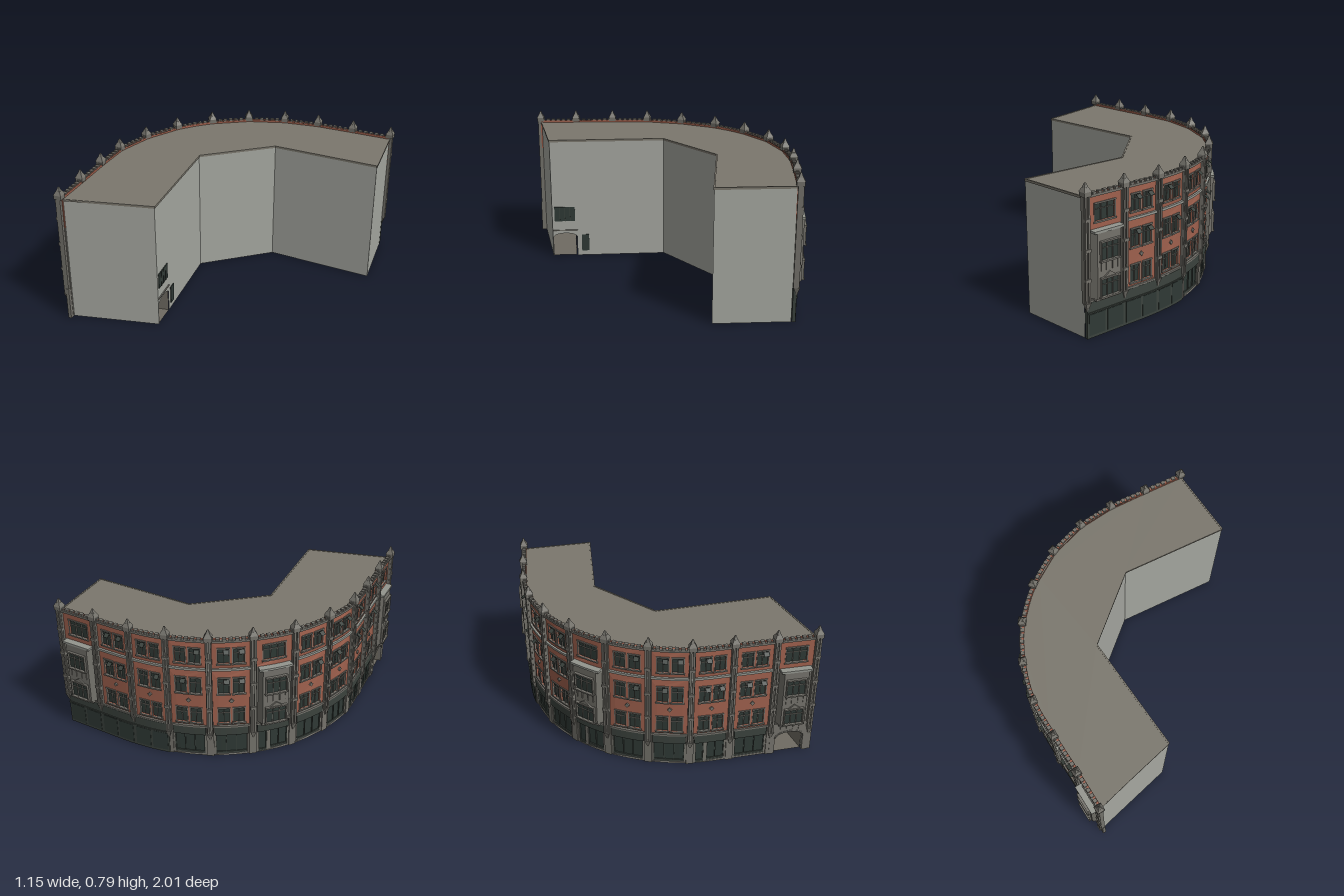
import * as THREE from 'three';
import { mergeGeometries } from 'three/addons/utils/BufferGeometryUtils.js';

const mat = (name, color, side = THREE.FrontSide) => {
  const m = new THREE.MeshStandardMaterial({ color, side });
  m.name = name;
  return m;
};
const BRICK = mat('brick', 0x9e604d);
const STONE = mat('stone', 0x74726b);
const SHOP = mat('shopfront', 0x3b423d);
const GLASS = mat('glass', 0x2f3935);
const ROOF = mat('roofing', 0x7b776d, THREE.DoubleSide);
const PLAIN = mat('plainWall', 0xa5a7a0, THREE.DoubleSide);
const TRIM = mat('paleTrim', 0x93958e);
const PASSAGE = mat('passageLining', 0x6f6b62, THREE.DoubleSide);

// Plan of the street facade: one point per pier, eleven bays
const PIERS = [[0.33, -0.975], [0.125, -0.868], [-0.07, -0.762], [-0.238, -0.638], [-0.385, -0.47], [-0.487, -0.265],
  [-0.535, -0.04], [-0.52, 0.19], [-0.455, 0.405], [-0.34, 0.592], [-0.212, 0.783], [-0.09, 0.968]];
const BAYS = PIERS.length - 1;
const W = 0.226;
const curve = new THREE.CatmullRomCurve3(PIERS.map(([x, z]) => new THREE.Vector3(x, 0, z)), false, 'centripetal');

// Maps (distance along facade, height, distance outward) onto the curved plan
function onFacade(s, y, n) {
  const t = THREE.MathUtils.clamp(s / (W * BAYS), 0, 1);
  const p = curve.getPoint(t), d = curve.getTangent(t), extra = s - t * W * BAYS;
  return new THREE.Vector3(p.x + d.x * extra - d.z * n, y, p.z + d.z * extra + d.x * n);
}

const parts = new Map();
function add(name, material, geo, bay) {
  const g = geo.index ? geo.toNonIndexed() : geo;
  g.deleteAttribute('uv');
  const p = g.attributes.position;
  for (let i = 0; i < p.count; i++) {
    const v = onFacade(bay * W + p.getX(i), p.getY(i), p.getZ(i));
    p.setXYZ(i, v.x, v.y, v.z);
  }
  g.computeVertexNormals();
  if (!parts.has(name)) parts.set(name, { material, list: [] });
  parts.get(name).list.push(g);
}

function box(x0, x1, y0, y1, n0, n1) {
  const g = new THREE.BoxGeometry(x1 - x0, y1 - y0, n1 - n0, x1 - x0 > 0.1 ? 6 : 1, 1, 1);
  return g.translate((x0 + x1) / 2, (y0 + y1) / 2, (n0 + n1) / 2);
}

function rectPath(x0, x1, y0, y1) {
  return new THREE.Path([[x0, y0], [x0, y1], [x1, y1], [x1, y0]].map(p => new THREE.Vector2(...p)));
}

// Full-width bay wall with rectangular openings
function panel(y0, y1, holes) {
  const pts = [];
  for (let i = 0; i <= 6; i++) pts.push(new THREE.Vector2(W * i / 6, y0));
  for (let i = 6; i >= 0; i--) pts.push(new THREE.Vector2(W * i / 6, y1));
  const s = new THREE.Shape(pts);
  s.holes = holes.map(h => rectPath(...h));
  return new THREE.ExtrudeGeometry(s, { depth: 0.014, bevelEnabled: false }).translate(0, 0, -0.014);
}

// Wall outline with an arched opening rising from the ground
function archShape(w, h, a0, a1, spring, crown) {
  const s = new THREE.Shape();
  s.moveTo(0, 0); s.lineTo(a0, 0); s.lineTo(a0, spring);
  s.bezierCurveTo(a0 + 0.01, crown, a1 - 0.01, crown, a1, spring);
  s.lineTo(a1, 0); s.lineTo(w, 0); s.lineTo(w, h); s.lineTo(0, h);
  return s;
}

// Stone-framed window with mullions and a transom
function windowUnit(bay, [x0, x1, y0, y1], n, lights, open) {
  const f = 0.006, out = n + 0.013;
  add('windowGlass', GLASS, box(x0, x1, y0, y1, n, n + 0.002), bay);
  for (const [a, b] of [[x0 - f, x0], [x1, x1 + f]]) add('windowFrames', STONE, box(a, b, y0, y1, n, out), bay);
  add('windowFrames', STONE, box(x0 - f, x1 + f, y1, y1 + 0.008, n, out + 0.002), bay);
  add('windowFrames', STONE, box(x0 - f - 0.003, x1 + f + 0.003, y0 - 0.008, y0, n, out + 0.004), bay);
  for (let i = 1; i < lights; i++) {
    const c = x0 + (x1 - x0) * i / lights;
    add('windowFrames', STONE, box(c - 0.002, c + 0.002, y0, y1, n, n + 0.008), bay);
  }
  const ty = y0 + (y1 - y0) * 0.68;
  add('windowFrames', STONE, box(x0, x1, ty - 0.0015, ty + 0.0015, n, n + 0.007), bay);
  if (open) {
    const w = (x1 - x0) / lights;
    const sash = new THREE.BoxGeometry(w, 0.026, 0.003).translate(0, -0.013, 0).rotateX(-0.9);
    add('openSashes', SHOP, sash.translate(x0 + w * (lights - 0.5), y1 - 0.004, n + 0.013), bay);
  }
}

function buildBay(b) {
  const oriel = b === 0 || b === 5 || b === 10;
  const pair = (y0, y1) => [[0.047, 0.103, y0, y1], [0.125, 0.181, y0, y1]];
  const top = oriel ? [[0.055, 0.171, 0.585, 0.67]] : pair(0.585, 0.67);
  const lower = [...pair(0.215, 0.305), ...pair(0.4, 0.492)];

  // Upper walls and windows
  add('brickWall', BRICK, panel(0.55, 0.728, top), b);
  top.forEach((h, i) => windowUnit(b, h, -0.01, oriel ? 3 : 2, !oriel && (b + i) % 3 !== 0));
  if (oriel) {
    add('stoneBayWall', STONE, panel(0.19, 0.55, []), b);
    const plan = new THREE.Shape([[0.026, 0], [0.2, 0], [0.182, -0.034], [0.044, -0.034]].map(p => new THREE.Vector2(...p)).reverse());
    const body = new THREE.ExtrudeGeometry(plan, { depth: 0.335, bevelEnabled: false }).rotateX(-Math.PI / 2);
    add('orielBody', STONE, body.translate(0, 0.205, 0), b);
    add('orielCap', TRIM, box(0.026, 0.2, 0.538, 0.55, 0, 0.038), b);
    add('orielBase', STONE, box(0.04, 0.186, 0.192, 0.206, 0, 0.028), b);
    for (const y of [0.215, 0.4]) windowUnit(b, [0.062, 0.164, y, y + 0.09], 0.033, 3, false);
    const gable = new THREE.Shape([[0.075, 0.31], [0.151, 0.31], [0.113, 0.338]].map(p => new THREE.Vector2(...p)));
    add('orielGable', STONE, new THREE.ExtrudeGeometry(gable, { depth: 0.009, bevelEnabled: false }).translate(0, 0, 0.033), b);
    for (const x of [0.062, 0.093, 0.129, 0.16])
      add('orielPanels', STONE, box(x, x + 0.005, 0.345, 0.39, 0.033, 0.038), b);
  } else {
    add('brickWall', BRICK, panel(0.19, 0.55, lower), b);
    lower.forEach((h, i) => windowUnit(b, h, -0.01, 2, i > 1 && (b * 3 + i) % 4 !== 0));
    add('diamondPlaque', STONE, new THREE.BoxGeometry(0.018, 0.018, 0.008).rotateZ(Math.PI / 4).translate(0.114, 0.355, 0.002), b);
    add('upperCornice', TRIM, box(0, W, 0.545, 0.558, 0, 0.012), b);
  }
  add('sillBand', STONE, box(0, W, 0.187, 0.197, -0.01, 0.009), b);

  // Parapet with merlons
  add('parapetCoping', STONE, box(0, W, 0.712, 0.724, -0.006, 0.011), b);
  for (let i = 0; i < 7; i++) {
    const x = W * (i + 0.5) / 7;
    add('merlons', STONE, box(x - 0.01, x + 0.01, 0.722, 0.735, -0.012, 0.009), b);
  }

  // Street level: flat dark frontage, stone shopfronts, or the carriage arch
  if (b < 3) {
    add('darkFrontage', SHOP, box(0, W, 0, 0.188, -0.008, 0.01), b);
    for (const x of [0.01, 0.12]) add('frontageGlass', GLASS, box(x, x + 0.096, 0.015, 0.125, 0.01, 0.012), b);
    add('frontageRail', SHOP, box(0, W, 0.13, 0.137, 0.01, 0.015), b);
  } else if (b < 10) {
    const doors = b % 3 === 2;
    const holes = doors ? [[0.032, 0.078, 0.004, 0.138], [0.096, 0.196, 0.012, 0.138]] : [[0.03, 0.196, 0.012, 0.138]];
    add('groundWall', STONE, panel(0, 0.19, holes), b);
    for (const [x0, x1, y0, y1] of holes) {
      add('shopGlass', GLASS, box(x0, x1, y0, y1, -0.011, -0.008), b);
      add('shopFrames', SHOP, box(x0, x1, y0, y0 + 0.012, -0.008, -0.002), b);
      const n = Math.max(1, Math.round((x1 - x0) / 0.055));
      for (let i = 0; i <= n; i++) {
        const x = x0 + 0.002 + (x1 - x0 - 0.004) * i / n;
        add('shopFrames', SHOP, box(x - 0.002, x + 0.002, y0, y1, -0.008, -0.002), b);
      }
    }
    add('shopFascia', SHOP, box(0.024, 0.202, 0.138, 0.187, 0, 0.008), b);
  } else {
    const arch = archShape(W, 0.19, 0.03, 0.196, 0.1, 0.15);
    add('archWall', STONE, new THREE.ExtrudeGeometry(arch, { depth: 0.022, bevelEnabled: false }).translate(0, 0, -0.014), b);
    const ring = new THREE.CubicBezierCurve3(...[[0.028, 0.1], [0.036, 0.154], [0.19, 0.154], [0.198, 0.1]].map(([x, y]) => new THREE.Vector3(x, y, 0.008)));
    add('archMoulding', STONE, new THREE.TubeGeometry(ring, 14, 0.005, 6), b);
    for (const x of [0.055, 0.09, 0.128, 0.163]) add('archShields', STONE, box(x, x + 0.012, 0.15, 0.178, 0.008, 0.013), b);
  }
}

// Pier shafts, brackets and pinnacles
function buildPier(i) {
  const s = (x0, x1, y0, y1, n0, n1) => add('piers', STONE, box(x0, x1, y0, y1, n0, n1), i);
  const foot = i < 3 ? 0.19 : 0.15;
  s(-0.017, 0.017, foot, 0.73, -0.01, 0.012);
  for (const x of [-0.009, 0.009]) s(x - 0.005, x + 0.005, foot, 0.735, 0.012, 0.02);
  for (const y of [0.3, 0.45, 0.6]) s(-0.016, 0.016, y, y + 0.016, 0.01, 0.024);
  const cone = (name, r0, r1, h, y, n) => add(name, STONE,
    new THREE.CylinderGeometry(r1, r0, h, 4).rotateY(Math.PI / 4).translate(0, y + h / 2, n), i);
  cone('pierBrackets', 0.003, 0.022, 0.045, foot - 0.043, 0.008);
  if (i >= 3) s(-0.02, 0.02, 0, 0.185, -0.012, 0.006);
  cone('pinnacles', 0.029, 0.029, 0.025, 0.722, 0.002);
  cone('pinnacles', 0.031, 0.016, 0.02, 0.745, 0.002);
  cone('pinnacles', 0.016, 0.004, 0.024, 0.763, 0.002);
}

export function createModel() {
  const group = new THREE.Group();
  group.name = 'curvedBuilding';
  parts.clear();
  for (let b = 0; b < BAYS; b++) buildBay(b);
  for (let i = 0; i <= BAYS; i++) buildPier(i);
  for (const [name, { material, list }] of parts) {
    const m = new THREE.Mesh(mergeGeometries(list), material);
    m.name = name;
    group.add(m);
  }

  const put = (name, geo, material, parent = group) => {
    const m = new THREE.Mesh(geo, material);
    m.name = name;
    parent.add(m);
    return m;
  };
  // Stands flat geometry on the plan line from a to b
  const stand = (name, a, b, geo, material) => {
    const m = put(name, geo, material);
    m.position.set(a[0], 0, a[1]);
    m.rotation.y = Math.atan2(a[1] - b[1], b[0] - a[0]);
    return m;
  };
  const length = (a, b) => Math.hypot(b[0] - a[0], b[1] - a[1]);
  const H = 0.71;
  const rear = [[-0.085, 0.955], [0.26, 0.62], [-0.13, 0.08], [0.02, -0.355], [0.565, -0.635], [0.335, -0.965]];

  // Plain rear and end walls with a coping along the roof edge
  for (let i = 0; i < rear.length - 1; i++) {
    const a = rear[i], b = rear[i + 1], L = length(a, b);
    const shape = i === 1 ? archShape(L, H, 0.005, 0.145, 0.12, 0.15)
      : new THREE.Shape(rectPath(0, L, 0, H).getPoints());
    const wall = stand('rearWall', a, b, new THREE.ShapeGeometry(shape), PLAIN);
    put('rearCoping', box(0, L, 0.706, 0.718, -0.004, 0.004), ROOF, wall);
    if (i === 1) {
      put('rearWindow', box(0.014, 0.135, 0.22, 0.308, 0, 0.004), GLASS, wall);
      for (let k = 1; k < 4; k++) put('rearWindowBar', box(0.014 + k * 0.03, 0.017 + k * 0.03, 0.22, 0.308, 0.003, 0.006), SHOP, wall);
      put('rearDoor', box(0.172, 0.216, 0.03, 0.132, 0, 0.004), GLASS, wall);
      put('rearHood', box(0, 0.15, 0.158, 0.164, 0, 0.006), STONE, wall);
    }
  }

  // Roof slab following the curved front
  const flat = pts => new THREE.Shape(pts.map(([x, z]) => new THREE.Vector2(x, -z)));
  const front = [];
  for (let i = 0; i <= 44; i++) {
    const p = onFacade(W * BAYS * i / 44, 0, -0.008);
    front.push([p.x, p.z]);
  }
  put('roof', new THREE.ExtrudeGeometry(flat([...front, ...rear.slice(1, 5)]), { depth: 0.008, bevelEnabled: false })
    .rotateX(-Math.PI / 2).translate(0, 0.708, 0), ROOF);

  // Carriage passage from the end bay to the courtyard
  const a = [-0.1, 0.935], b = [-0.192, 0.8], c = [0.178, 0.507], d = [0.255, 0.618];
  for (const y of [0.003, 0.148])
    put(y < 0.1 ? 'passageFloor' : 'passageCeiling', new THREE.ShapeGeometry(flat([a, d, c, b])).rotateX(-Math.PI / 2).translate(0, y, 0), PASSAGE);
  for (const [p, q] of [[a, d], [c, b]])
    stand('passageWall', p, q, new THREE.PlaneGeometry(length(p, q), 0.148).translate(length(p, q) / 2, 0.074, 0), PASSAGE);
  return group;
}
